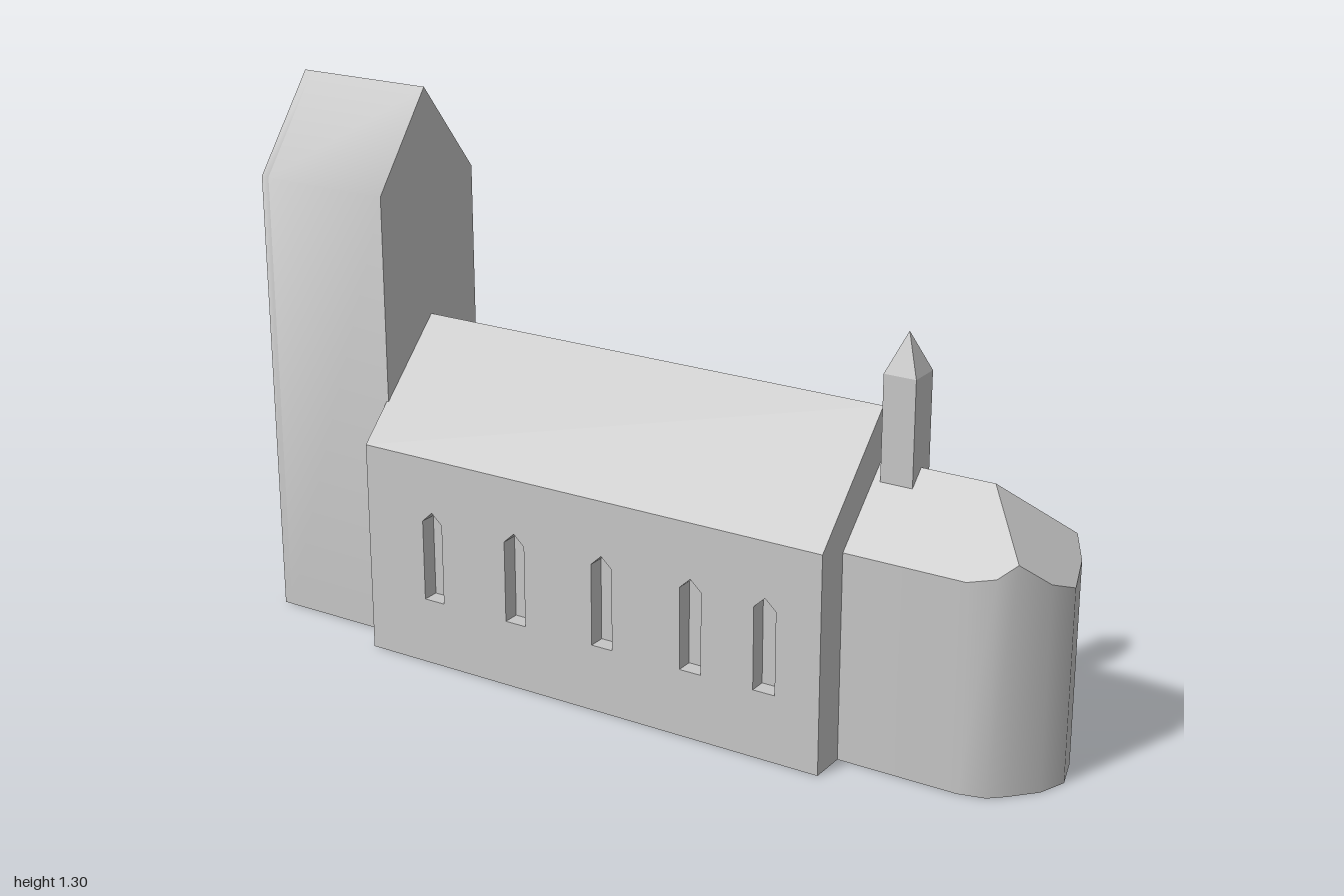
import * as THREE from 'three';
import { toCreasedNormals } from 'three/addons/utils/BufferGeometryUtils.js';
import { ConvexGeometry } from 'three/addons/geometries/ConvexGeometry.js';

const CREASE = THREE.MathUtils.degToRad(40);

// Closed outline from [x, y] pairs
function outline(points, Type = THREE.Shape) {
  return new Type(points.map(([x, y]) => new THREE.Vector2(x, y)));
}

// Opening with a pointed head
function pointedHole(cx, bottom, shoulder, top, half) {
  return outline([
    [cx - half, bottom], [cx - half, shoulder], [cx, top],
    [cx + half, shoulder], [cx + half, bottom],
  ], THREE.Path);
}

// Extrude a z-y section along x, from x0 to x1
function extrudeAlongX(shape, x0, x1) {
  return new THREE.ExtrudeGeometry(shape, { depth: x1 - x0, bevelEnabled: false })
    .rotateY(Math.PI / 2)
    .translate(x0, 0, 0);
}

export function createModel() {
  const model = new THREE.Group();
  model.name = 'church';
  const stone = new THREE.MeshStandardMaterial({ color: 0xc6c6c6 });
  stone.name = 'grey stone';

  function add(name, geometry) {
    const mesh = new THREE.Mesh(toCreasedNormals(geometry, CREASE), stone);
    mesh.name = name;
    model.add(mesh);
    return mesh;
  }

  // Tower: gabled block with a recessed door and two windows in its end wall
  const gable = () => outline([[-0.171, 0], [0.171, 0], [0.171, 1.08], [0, 1.3], [-0.171, 1.08]]);
  const towerFront = gable();
  towerFront.holes.push(
    pointedHole(0, 0.01, 0.14, 0.17, 0.03),
    pointedHole(0, 0.81, 0.885, 0.91, 0.027),
    pointedHole(0, 1.0, 1.075, 1.1, 0.027),
  );
  add('tower', extrudeAlongX(gable(), -0.98, -0.65));
  add('towerEndWall', extrudeAlongX(towerFront, -1, -0.98));

  // Nave: inner walls and overhanging roof, with pierced outer walls under it
  const half = 0.253, recess = 0.04, inner = half - recess, eave = 0.51;
  const x0 = -0.655, x1 = 0.545;
  add('naveAndRoof', extrudeAlongX(outline([
    [-inner, 0], [inner, 0], [inner, eave], [half, eave],
    [0, 0.76], [-half, eave], [-inner, eave],
  ]), x0, x1));

  const wall = outline([[x0, 0], [x1, 0], [x1, eave], [x0, eave]]);
  for (const x of [-0.47, -0.24, -0.005, 0.225, 0.41]) {
    wall.holes.push(pointedHole(x, 0.16, 0.355, 0.38, 0.027));
  }
  for (const [name, z] of [['naveFrontWall', inner], ['naveBackWall', -half]]) {
    add(name, new THREE.ExtrudeGeometry(wall, { depth: recess, bevelEnabled: false }).translate(0, 0, z));
  }

  // Apse: rounded plan, cut on top by two side slopes and an end hip
  const plan = [
    [0.54, 0.165], [0.83, 0.165], [0.89, 0.15], [0.924, 0.12], [0.975, 0.065], [1, 0],
    [0.975, -0.085], [0.94, -0.137], [0.915, -0.163], [0.82, -0.188], [0.54, -0.188],
  ];
  const ridge = 0.64, hipStart = 0.81;
  const roofHeight = (x, z) => ridge - Math.max(0.95 * Math.abs(z), x - hipStart);
  const corners = [new THREE.Vector3(0.54, ridge, 0), new THREE.Vector3(hipStart, ridge, 0)];
  for (const [x, z] of plan) {
    corners.push(new THREE.Vector3(x, 0, z), new THREE.Vector3(x, roofHeight(x, z), z));
  }
  add('apse', new ConvexGeometry(corners));

  // Bell turret: square shaft with a pyramid spire
  const side = 0.076;
  add('turretShaft', new THREE.BoxGeometry(side, 0.255, side)).position.set(0.6, 0.7175, 0);
  add('turretSpire', new THREE.ConeGeometry(side * Math.SQRT1_2, 0.09, 4).rotateY(Math.PI / 4))
    .position.set(0.6, 0.89, 0);

  return model;
}
